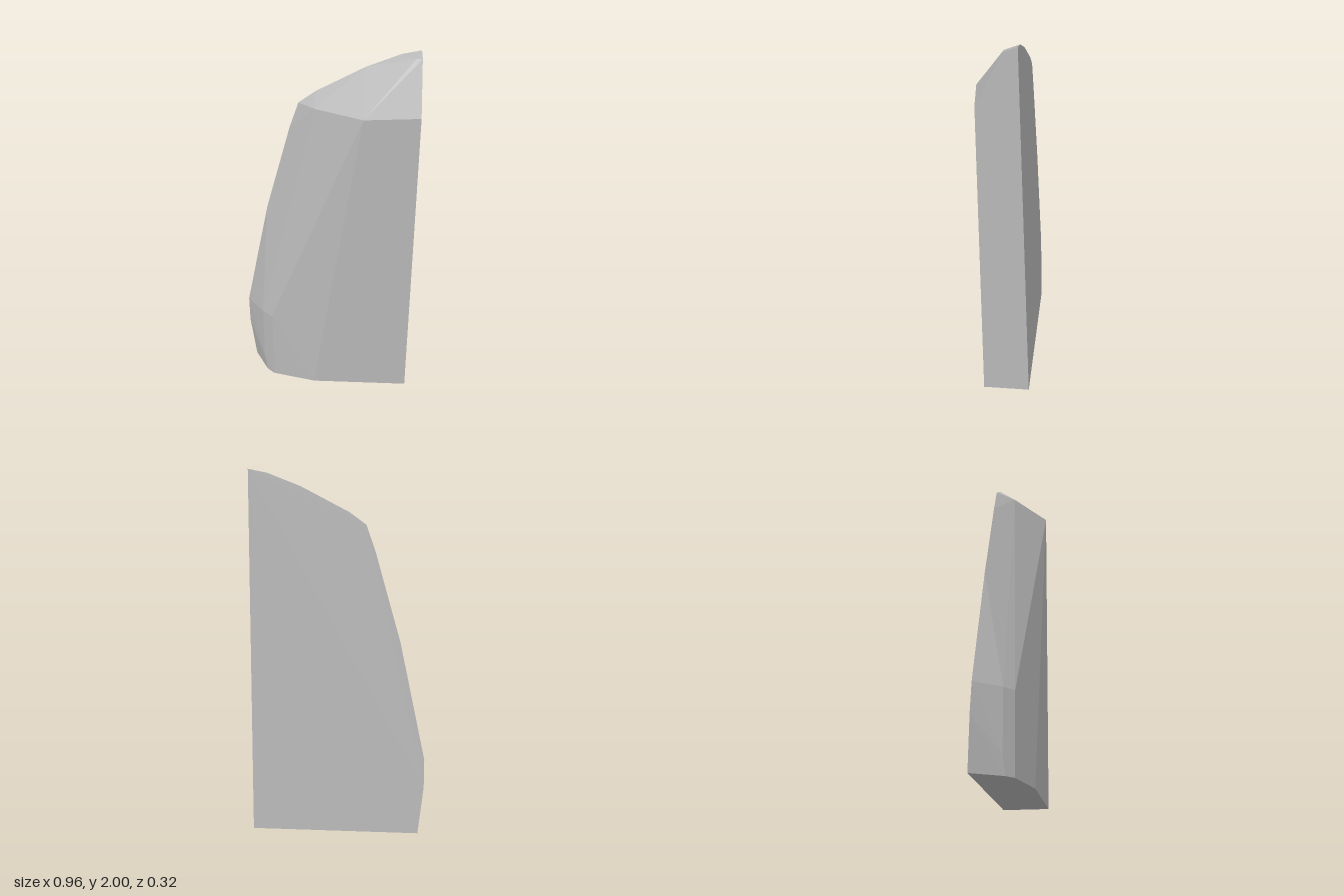
import * as THREE from 'three';
import { ConvexGeometry } from 'three/addons/geometries/ConvexGeometry.js';

export function createModel() {
  const group = new THREE.Group();
  group.name = 'stoneShard';
  const stone = new THREE.MeshStandardMaterial({ color: 0xb8b8b8, flatShading: true });
  stone.name = 'grey stone';

  // Curved outline lying on the flat, slightly leaning back plane
  const backZ = (x, y) => -0.15 + 0.0215 * x + 0.035 * y;
  const outline = [
    [0.48, 0], [-0.45, 0], [-0.48, 0.27], [-0.48, 0.43], [-0.34, 1.08], [-0.2, 1.57],
    [-0.15, 1.71], [-0.06, 1.775], [0.2, 1.91], [0.38, 1.98], [0.48, 2],
  ].map(([x, y]) => new THREE.Vector3(x, y, backZ(x, y)));

  // Chiselled corners of the front
  const front = [
    // foot
    [0.48, 0, 0.115], [-0.07, 0, 0.105], [-0.32, 0, 0.04], [-0.365, 0, 0],
    // lower left bevel
    [-0.38, 0.1, -0.01], [-0.38, 0.43, -0.01], [-0.32, 0.43, 0.04],
    // shoulder
    [-0.06, 1.71, 0], [0.19, 1.71, 0.16], [0.48, 1.71, 0.13],
    // crest
    [0.45, 1.975, -0.005], [0.48, 1.975, -0.003],
  ].map((p) => new THREE.Vector3(...p));

  const shard = new THREE.Mesh(new ConvexGeometry([...outline, ...front]), stone);
  shard.name = 'shard';
  group.add(shard);
  return group;
}
